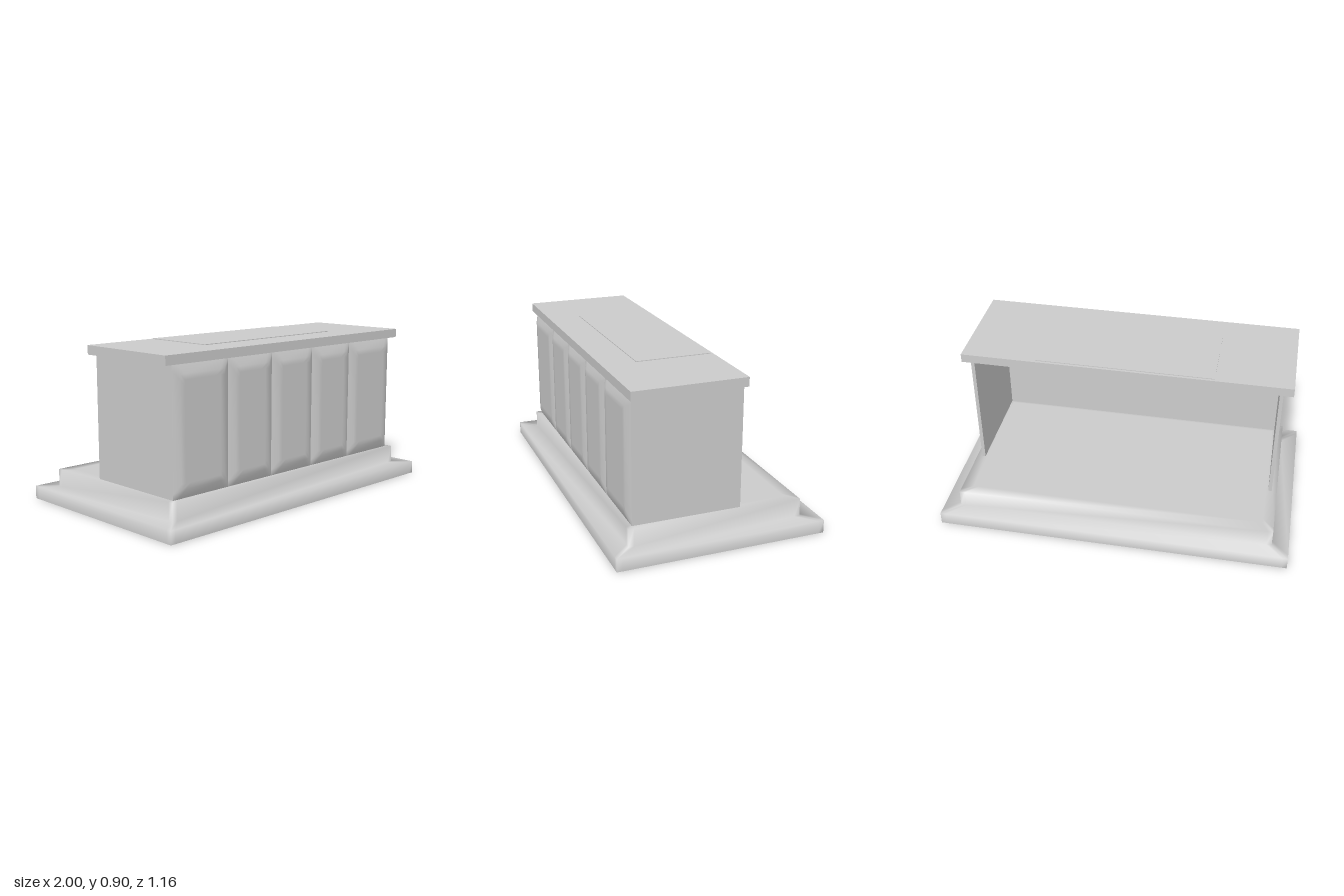
import * as THREE from 'three';

const solid = new THREE.MeshStandardMaterial({ color: 0xcccccc });
const thin = new THREE.MeshStandardMaterial({ color: 0xcccccc, side: THREE.DoubleSide });

// Rectangular outline with extra points beside each corner, so shading bends only there
function outline(hx, hz, y) {
  const pts = [], e = 0.03;
  for (const [sx, sz, alongZ] of [[1, 1, 0], [1, -1, 1], [-1, -1, 0], [-1, 1, 1]]) {
    const beforeX = [sx * (hx - e), y, sz * hz];
    const beforeZ = [sx * hx, y, sz * (hz - e)];
    const corner = [sx * hx, y, sz * hz];
    pts.push(...(alongZ ? [beforeZ, corner, beforeX] : [beforeX, corner, beforeZ]));
  }
  return pts;
}

// Smooth skin over stacked rectangles [halfX, halfZ, y], closed at the top
function loft(sections) {
  const rings = sections.map(s => outline(...s));
  const n = rings[0].length, pos = rings.flat(2), idx = [];
  for (let i = 0; i < rings.length; i++) {
    for (let j = 0; j < n; j++) {
      const k = (j + 1) % n, a = i * n + j, b = i * n + k;
      if (i < rings.length - 1) idx.push(a, b, b + n, a, b + n, a + n);
      else idx.push(a, b, rings.length * n);
    }
  }
  pos.push(0, sections.at(-1)[2], 0);
  const g = new THREE.BufferGeometry();
  g.setAttribute('position', new THREE.Float32BufferAttribute(pos, 3));
  g.setIndex(idx);
  g.computeVertexNormals();
  return g;
}

export function createModel() {
  const group = new THREE.Group();
  const add = (name, geometry, material = solid) => {
    const mesh = new THREE.Mesh(geometry, material);
    mesh.name = name;
    group.add(mesh);
    return mesh;
  };
  // Box given by its minimum and maximum on each axis
  const box = (name, [x0, x1], [y0, y1], [z0, z1]) =>
    add(name, new THREE.BoxGeometry(x1 - x0, y1 - y0, z1 - z0))
      .position.set((x0 + x1) / 2, (y0 + y1) / 2, (z0 + z1) / 2);

  // Hollow two-step plinth, open underneath
  add('steppedBase', loft([
    [1, 0.58, 0], [1, 0.58, 0.072],
    [0.905, 0.485, 0.072], [0.905, 0.485, 0.17],
    [0.84, 0.42, 0.17],
  ]), thin);

  // Thin walls, open at the back
  const wall = 0.02, wallY = [0.17, 0.85];
  box('leftWall', [0.875 - wall, 0.875], wallY, [-0.145, 0.455]);
  box('rightWall', [-0.875, -0.875 + wall], wallY, [-0.145, 0.455]);
  box('frontWall', [-0.875 + wall, 0.875 - wall], wallY, [0.455 - wall, 0.455]);

  // Five raised front panels with bevelled edges
  const joints = [-0.875, -0.495, -0.165, 0.165, 0.495, 0.875];
  for (let i = 0; i < 5; i++) {
    const half = (joints[i + 1] - joints[i]) / 2;
    const panel = loft([
      [half, 0.34, 0], [half - 0.04, 0.29, 0.02], [half - 0.07, 0.26, 0.02],
    ]).rotateX(Math.PI / 2);
    add('frontPanel', panel).position.set((joints[i] + joints[i + 1]) / 2, 0.51, 0.455);
  }

  // Overhanging counter top with a thin inlay
  box('counterTop', [-0.93, 0.93], [0.85, 0.9], [-0.145, 0.475]);
  box('topInlay', [-0.5, 0.5], [0.9, 0.904], [-0.13, 0.29]);

  return group;
}
